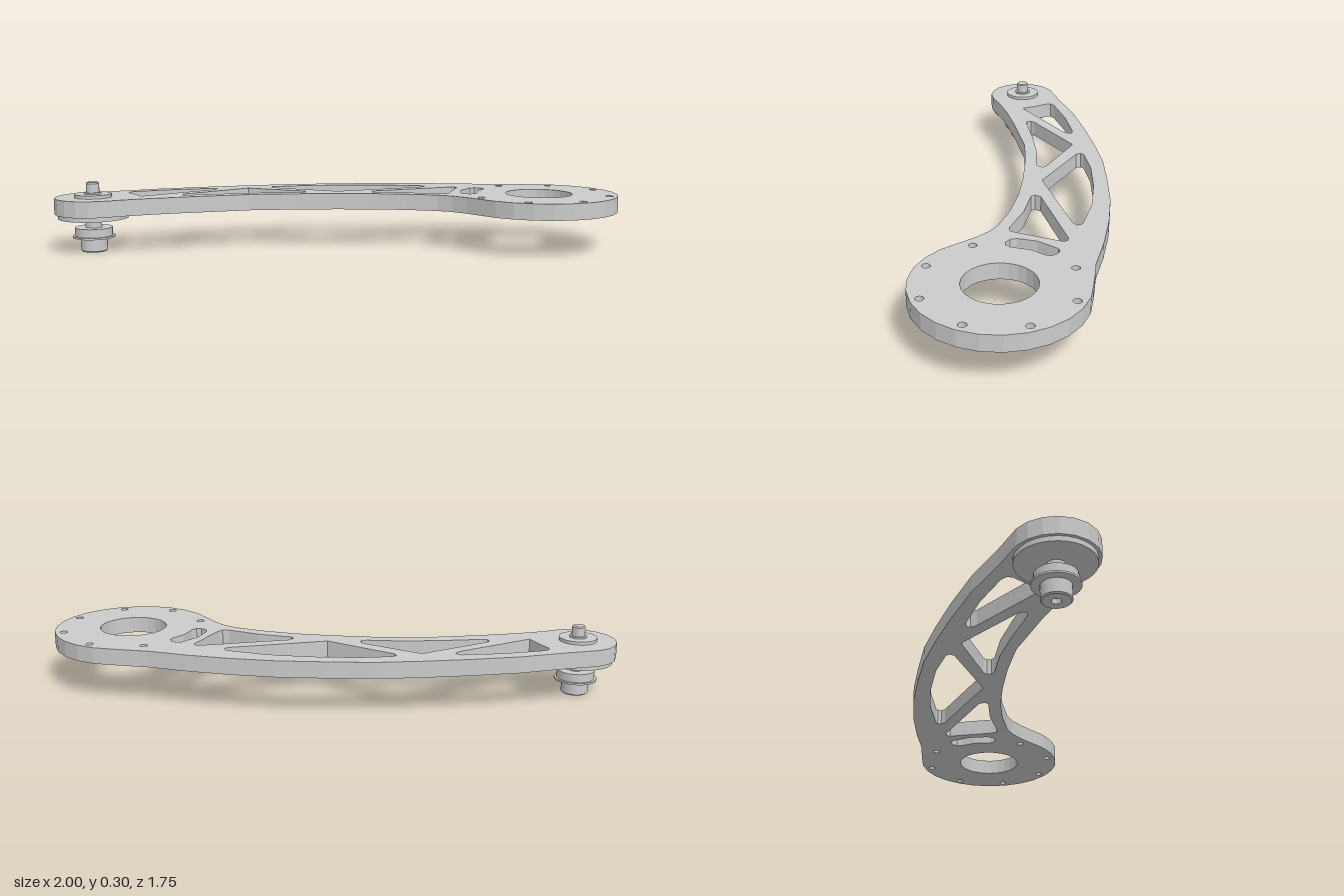
import * as THREE from 'three';
import { toCreasedNormals } from 'three/addons/utils/BufferGeometryUtils.js';

const material = new THREE.MeshStandardMaterial({ color: 0xcccccc });
const HUB = { x: 0.655, z: -0.54, r: 0.342 }; // large ring end
const PIVOT = { x: -0.842, z: 0.706, r: 0.163 }; // small pin end

const toPoints = (list) => list.map(([x, z]) => new THREE.Vector2(x, z));

// Points on an arc in plan, angles in degrees
function arc(cx, cz, r, from, to, steps) {
  return Array.from({ length: steps + 1 }, (_, i) => {
    const a = THREE.MathUtils.degToRad(from + ((to - from) * i) / steps);
    return [cx + r * Math.cos(a), cz + r * Math.sin(a)];
  });
}

function circleHole(x, z, r, steps) {
  return new THREE.Path(toPoints(arc(x, z, r, 0, 360, steps).slice(0, -1)));
}

function createArm() {
  const outline = [
    // back edge, from pivot to hub
    [-0.917, 0.519], [-0.816, 0.337], [-0.693, 0.16], [-0.575, 0.005], [-0.452, -0.144],
    [-0.307, -0.283], [-0.158, -0.417], [0.003, -0.535], [0.158, -0.631], [0.307, -0.711], [0.36, -0.75],
    ...arc(HUB.x, HUB.z, HUB.r, -130, 95, 16),
    // front edge, from hub to pivot
    [0.548, -0.214], [0.468, -0.23], [0.393, -0.235], [0.329, -0.225], [0.2, -0.171], [0.067, -0.096],
    [-0.067, 0], [-0.206, 0.112], [-0.345, 0.241], [-0.404, 0.321], [-0.505, 0.455], [-0.602, 0.599],
    [-0.655, 0.69],
    ...arc(PIVOT.x, PIVOT.z, PIVOT.r, 28, 205, 9),
  ];
  const shape = new THREE.Shape(toPoints(outline));

  // Bearing bore and bolt circle (the slot takes the place of one bolt)
  shape.holes.push(circleHole(HUB.x, HUB.z, 0.146, 24));
  for (let i = 0; i < 8; i++) {
    if (i === 4) continue;
    const a = THREE.MathUtils.degToRad(-18.5 + 45 * i);
    shape.holes.push(circleHole(HUB.x + 0.304 * Math.cos(a), HUB.z + 0.304 * Math.sin(a), 0.017, 12));
  }

  // Slot and truss openings with rounded corners
  const openings = [
    [[0.313, -0.53], [0.325, -0.548], [0.35, -0.554], [0.375, -0.545], [0.385, -0.525], [0.393, -0.455],
      [0.43, -0.385], [0.43, -0.36], [0.415, -0.345], [0.385, -0.342], [0.362, -0.358], [0.323, -0.433]],
    [[0.083, -0.465], [0.1, -0.467], [0.114, -0.457], [0.11, -0.433], [-0.11, -0.075], [-0.43, -0.005],
      [-0.45, -0.015], [-0.448, -0.035], [-0.356, -0.15], [-0.217, -0.278], [-0.072, -0.385]],
    [[0.222, -0.505], [0.24, -0.515], [0.257, -0.505], [0.329, -0.315], [0.334, -0.29], [0.313, -0.272],
      [0.168, -0.219], [0.042, -0.146], [0.022, -0.15], [0.018, -0.18]],
    [[-0.505, 0.08], [-0.238, 0.011], [-0.217, 0.015], [-0.208, 0.032], [-0.217, 0.053], [-0.334, 0.155],
      [-0.452, 0.289], [-0.556, 0.42], [-0.572, 0.43], [-0.59, 0.42], [-0.591, 0.396]],
    [[-0.63, 0.184], [-0.612, 0.176], [-0.597, 0.185], [-0.595, 0.214], [-0.693, 0.567], [-0.767, 0.535],
      [-0.82, 0.519], [-0.837, 0.503], [-0.832, 0.476], [-0.741, 0.326]],
  ];
  openings.forEach((o) => shape.holes.push(new THREE.Path(toPoints(o))));

  const geometry = new THREE.ExtrudeGeometry(shape, { depth: 0.07, bevelEnabled: false });
  geometry.rotateX(Math.PI / 2).translate(0, 0.235, 0);
  const arm = new THREE.Mesh(geometry, material);
  arm.name = 'trussArm';
  return arm;
}

// Turned part from a closed [radius, height] profile, bottom to top
function turned(name, profile) {
  const geometry = toCreasedNormals(new THREE.LatheGeometry(toPoints(profile), 32), Math.PI / 5);
  const mesh = new THREE.Mesh(geometry, material);
  mesh.name = name;
  return mesh;
}

const disc = (name, r, y0, y1) => turned(name, [[0, y0], [r, y0], [r, y1], [0, y1]]);

function createPivot() {
  const pivot = new THREE.Group();
  pivot.name = 'pivotPin';
  pivot.position.set(PIVOT.x, 0, PIVOT.z);
  pivot.add(
    // end hub with a shallow socket in its underside
    turned('endHub', [[0, 0.02], [0.018, 0.02], [0.018, 0], [0.052, 0], [0.057, 0.005], [0.057, 0.06], [0, 0.06]]),
    disc('rollerFlange', 0.09, 0.06, 0.068),
    disc('roller', 0.08, 0.068, 0.104),
    disc('shaft', 0.035, 0.1, 0.17),
    disc('lowerFlange', 0.15, 0.145, 0.167),
    disc('upperWasher', 0.08, 0.23, 0.249),
    disc('collar', 0.037, 0.245, 0.256),
    turned('pinTip', [[0, 0.25], [0.028, 0.25], [0.028, 0.294], [0.024, 0.299], [0, 0.299]]),
  );
  return pivot;
}

export function createModel() {
  const model = new THREE.Group();
  model.name = 'trussArmWithPivot';
  model.add(createArm(), createPivot());
  return model;
}
